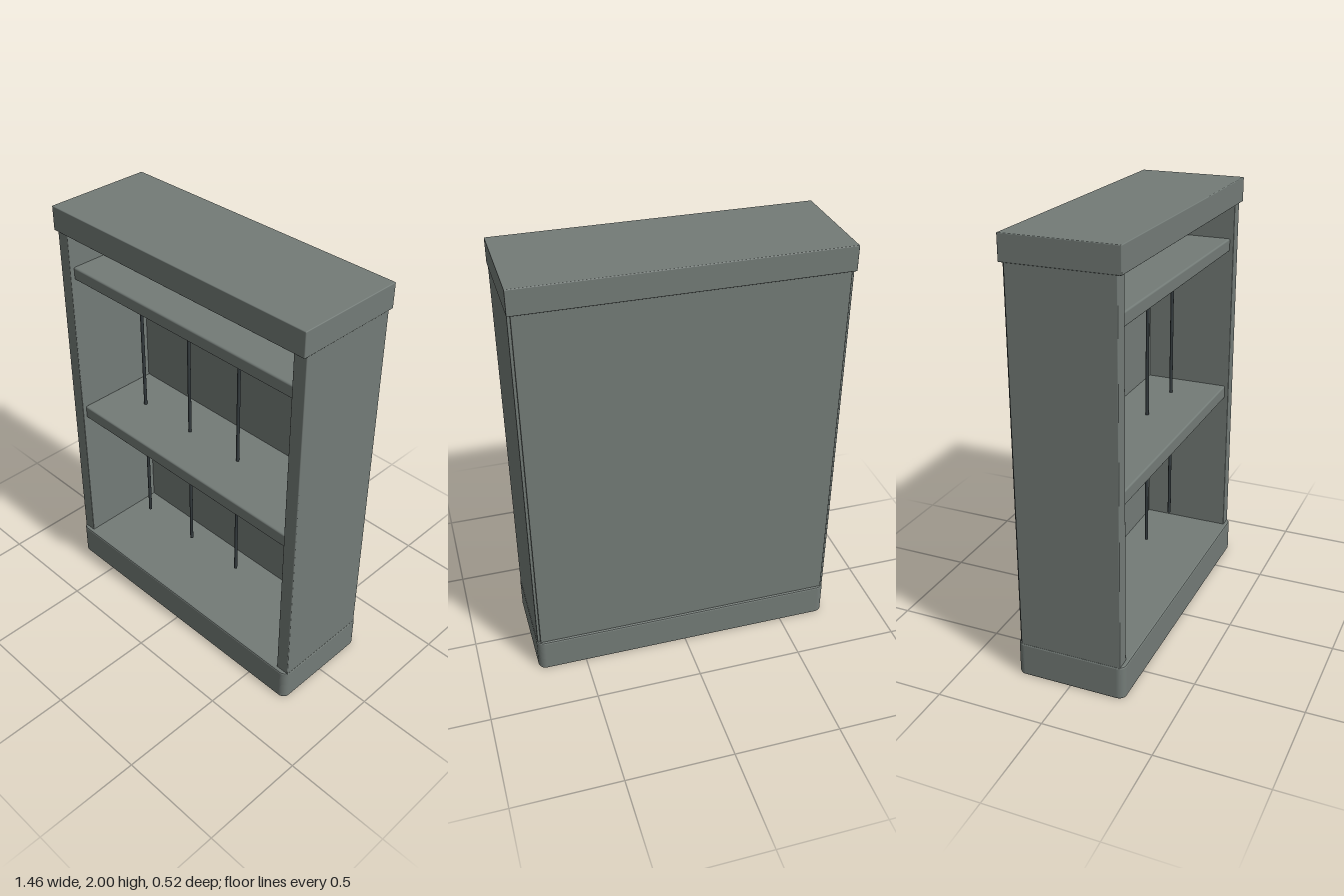
import * as THREE from 'three';
import { RoundedBoxGeometry } from 'three/addons/geometries/RoundedBoxGeometry.js';

const paint = (color) => new THREE.MeshStandardMaterial({ color });

export function createModel() {
  const group = new THREE.Group();
  const wood = paint(0x737b77);
  const steel = paint(0xa0a3aa);
  const dark = paint(0x343b3e);

  const add = (name, geometry, material) => {
    const mesh = new THREE.Mesh(geometry, material);
    mesh.name = name;
    group.add(mesh);
    return mesh;
  };

  // Softened box given by its extents on each axis
  const box = (name, [x0, x1], [y0, y1], [z0, z1], material = wood, r = 0.004) => {
    const mesh = add(name, new RoundedBoxGeometry(x1 - x0, y1 - y0, z1 - z0, 2, r), material);
    mesh.position.set((x0 + x1) / 2, (y0 + y1) / 2, (z0 + z1) / 2);
    return mesh;
  };

  // Plinth: rounded-corner footprint with a small bevel
  const bevel = 0.008, w = 0.728 - bevel, d = 0.258 - bevel, r = 0.028;
  const foot = new THREE.Shape();
  foot.moveTo(-w + r, -d);
  foot.absarc(w - r, -d + r, r, -Math.PI / 2, 0);
  foot.absarc(w - r, d - r, r, 0, Math.PI / 2);
  foot.absarc(-w + r, d - r, r, Math.PI / 2, Math.PI);
  foot.absarc(-w + r, -d + r, r, Math.PI, Math.PI * 1.5);
  const plinth = new THREE.ExtrudeGeometry(foot, {
    depth: 0.162 - 2 * bevel, bevelEnabled: true, bevelSize: bevel,
    bevelThickness: bevel, bevelSegments: 2, curveSegments: 6,
  });
  plinth.rotateX(-Math.PI / 2).translate(0, bevel, 0);
  add('plinth', plinth, wood);

  // Cabinet shell
  box('topCap', [-0.728, 0.728], [1.885, 2], [-0.258, 0.258]);
  box('backPanel', [-0.712, 0.712], [0.155, 1.89], [-0.246, -0.19]);
  for (const [name, x0, x1] of [['rightSide', -0.725, -0.66], ['leftSide', 0.66, 0.725]]) {
    box(name, [x0, x1], [0.155, 1.89], [-0.236, 0.24]);
  }

  // Cross shelves
  box('upperShelf', [-0.662, 0.662], [1.653, 1.715], [-0.195, 0.222], wood, 0.008);
  box('middleShelf', [-0.662, 0.662], [0.89, 0.956], [-0.195, 0.222], wood, 0.008);

  // Hanging tools: block heads alternate light and dark, with thin shafts
  for (let i = 0; i < 4; i++) {
    const x = -0.47 + i * 0.3135;
    const shaft = add('toolShaft', new THREE.CylinderGeometry(0.008, 0.008, 1.32, 12), dark);
    shaft.position.set(x, 0.94, 0);
    box('toolHead', [x - 0.074, x + 0.074], [1.552, 1.665], [-0.07, 0.07], i % 2 ? dark : steel);
  }
  return group;
}
